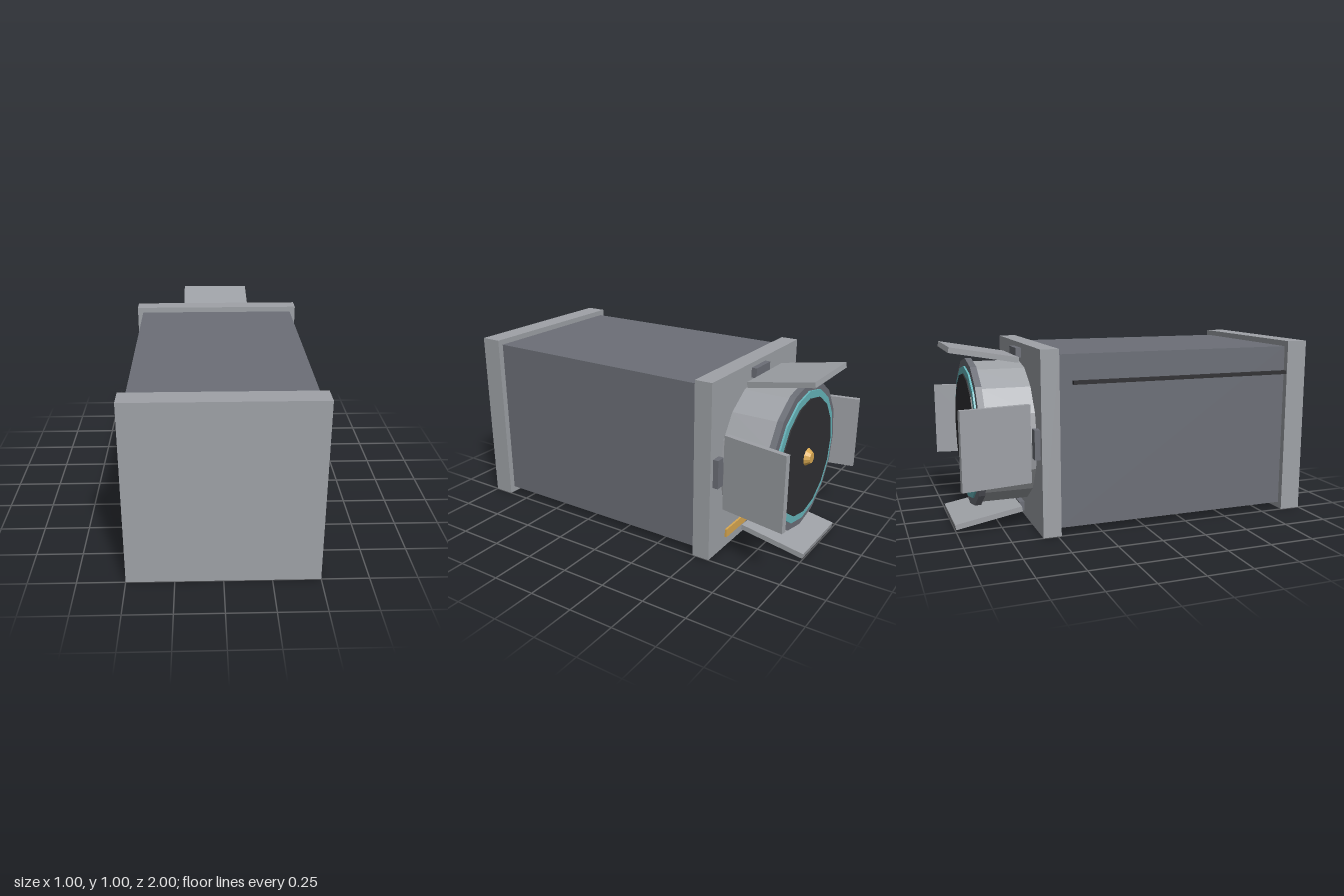
import * as THREE from 'three';

const paint = (color) => new THREE.MeshStandardMaterial({ color, flatShading: true });

export function createModel() {
  const model = new THREE.Group();
  const casing = paint(0x9fa2a7), dark = paint(0x6c6f77), black = paint(0x303033);
  const teal = paint(0x66b5bb), gold = paint(0xd9a850);

  const add = (parent, name, geometry, material, x, y, z) => {
    const mesh = new THREE.Mesh(geometry, material);
    mesh.name = name;
    mesh.position.set(x, y, z);
    parent.add(mesh);
    return mesh;
  };
  const box = (parent, name, w, h, d, material, x, y, z) =>
    add(parent, name, new THREE.BoxGeometry(w, h, d), material, x, y, z);
  // Disc along z, from zFront back to zBack, with a vertex on each axis
  const disc = (name, rFront, rBack, zFront, zBack, material, sides = 16) => {
    const g = new THREE.CylinderGeometry(rFront, rBack, zFront - zBack, sides).rotateX(Math.PI / 2);
    return add(model, name, g, material, 0, 0.5, (zFront + zBack) / 2);
  };

  // Housing with a square frame at each end
  box(model, 'housing', 0.934, 0.934, 1.36, dark, 0, 0.502, 0.2);
  box(model, 'frontFrame', 1, 1, 0.12, casing, 0, 0.5, 0.94);
  box(model, 'backFrame', 1, 1, 0.1, casing, 0, 0.5, -0.53);
  box(model, 'sideRail', 0.024, 0.02, 1.28, black, -0.478, 0.82, 0.24);

  // Stepped round port at the back
  disc('portBarrel', 0.4, 0.4, -0.58, -0.85, casing);
  disc('portRim', 0.418, 0.418, -0.845, -0.88, dark);
  disc('portRing', 0.375, 0.375, -0.87, -0.89, teal);
  disc('portDisc', 0.333, 0.333, -0.88, -0.897, black);
  disc('portKnob', 0.05, 0.03, -0.897, -0.925, gold, 12);

  // Four flared flaps around the port, each with a hinge block
  for (let i = 0; i < 4; i++) {
    const side = new THREE.Group();
    side.name = 'flapAssembly';
    side.position.y = 0.5;
    side.rotation.z = i * Math.PI / 2;
    box(side, 'hinge', 0.16, 0.055, 0.035, dark, 0, 0.445, -0.593);
    box(side, 'flap', 0.42, 0.03, 0.38, casing, 0, 0.452, -0.81).rotation.x = 0.175;
    model.add(side);
  }

  // Small plate on the back frame
  box(model, 'plate', 0.25, 0.048, 0.014, gold, 0.2, 0.083, -0.584);

  return model;
}
